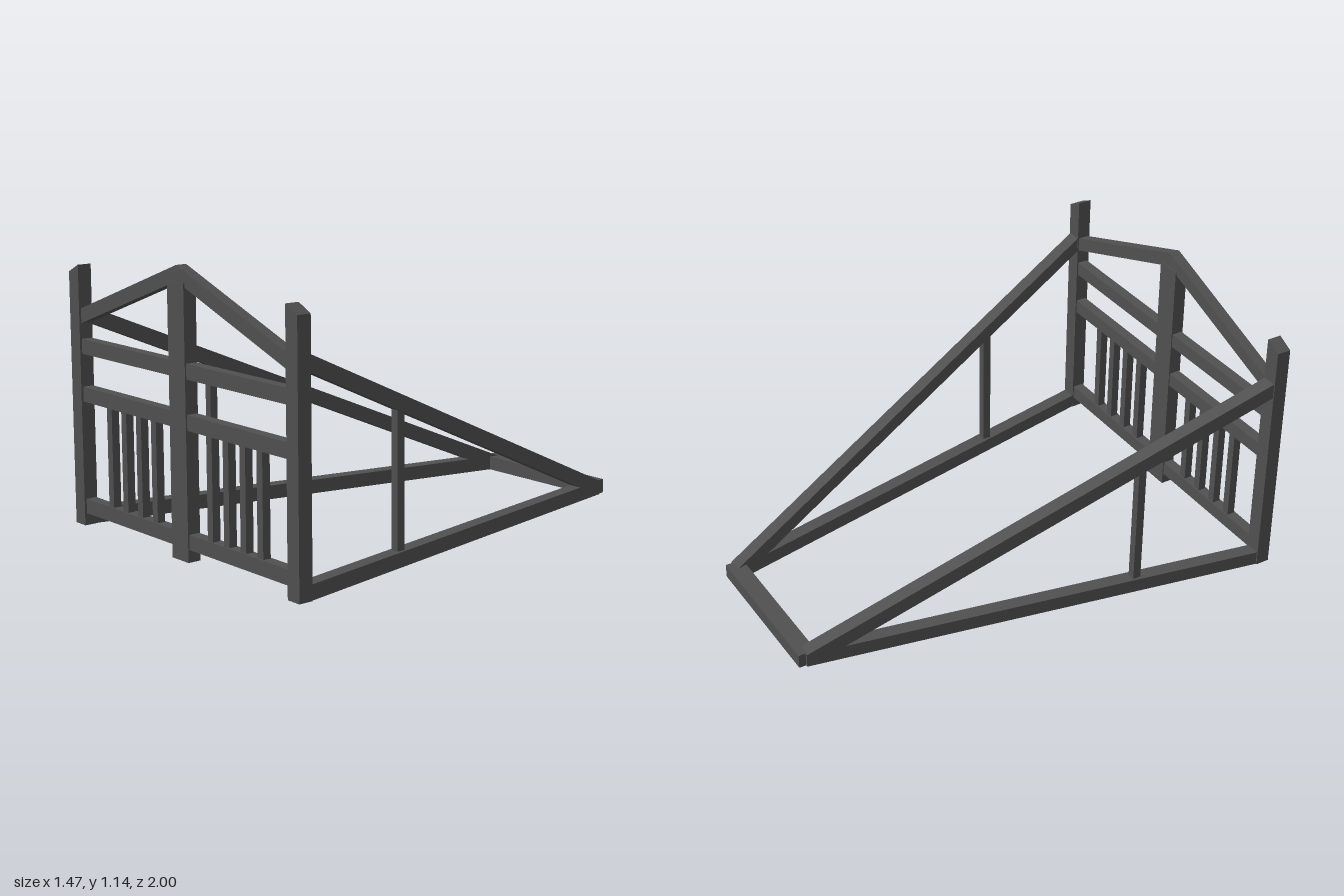
import * as THREE from 'three';

const wood = new THREE.MeshStandardMaterial({ color: 0x505050 });
wood.name = 'dark timber';

export function createModel() {
  const model = new THREE.Group();
  model.name = 'timberFrame';

  const add = (name, geometry) => {
    const mesh = new THREE.Mesh(geometry, wood);
    mesh.name = name;
    model.add(mesh);
  };

  // Box given by its limits on each axis
  const box = (name, x0, x1, y0, y1, z0, z1) => add(name,
    new THREE.BoxGeometry(x1 - x0, y1 - y0, z1 - z0)
      .translate((x0 + x1) / 2, (y0 + y1) / 2, (z0 + z1) / 2));

  const extrude = (points, depth) => new THREE.ExtrudeGeometry(
    new THREE.Shape(points.map(([x, y]) => new THREE.Vector2(x, y))),
    { depth, bevelEnabled: false });

  // Front-facing outline given depth from z0 to z1
  const frontPiece = (name, points, z0, z1) =>
    add(name, extrude(points, z1 - z0).translate(0, 0, z0));

  // The side frames lean inwards toward the back
  const sideX = z => 0.315 + (z + 0.97) * 0.2016;

  // Side outline in (z, y), sheared to follow the tapering plan
  const sidePiece = (name, side, points, width) => {
    const g = extrude(points.map(([z, y]) => [-z, y]), width)
      .rotateY(Math.PI / 2).translate(-width / 2, 0, 0);
    const p = g.attributes.position;
    for (let i = 0; i < p.count; i++) p.setX(i, p.getX(i) + side * sideX(p.getZ(i)));
    g.computeVertexNormals();
    add(name, g);
  };

  // Centre post and rear sill
  box('centrePost', -0.053, 0.053, 0, 1.072, 0.941, 0.997);
  box('rearSill', -0.335, 0.335, 0, 0.06, -1, -0.925);

  for (const s of [-1, 1]) {
    const label = s > 0 ? 'left' : 'right';
    const mirror = points => points.map(([x, y]) => [s * x, y]);
    const railSpan = [s * 0.05, s * 0.67].sort((a, b) => a - b);

    // Corner post with slanted top
    frontPiece(label + 'CornerPost',
      mirror([[0.668, 0], [0.735, 0], [0.735, 1.037], [0.668, 1.07]]), 0.94, 1);

    // Sloping top rail meeting at the ridge
    frontPiece(label + 'TopRail',
      mirror([[0, 1.075], [0.67, 0.833], [0.67, 0.893], [0, 1.136]]), 0.945, 0.991);

    // Horizontal rails
    [[0.05, 0.11], [0.514, 0.575], [0.71, 0.77]].forEach(([y0, y1], i) =>
      box(label + 'Rail' + (i + 1), ...railSpan, y0, y1, 0.945, 0.991));

    // Balusters between the lower rails
    for (let i = 0; i < 4; i++) {
      const x = s * (0.182 + i * 0.1027);
      box(label + 'Baluster' + (i + 1), x - 0.017, x + 0.017, 0.11, 0.514, 0.951, 0.985);
    }

    // Side sill, sloping brace and upright strut
    sidePiece(label + 'Sill', s,
      [[0.945, 0], [0.945, 0.06], [-0.97, 0.06], [-0.97, 0]], 0.06);
    sidePiece(label + 'Brace', s,
      [[0.942, 0.83], [0.942, 0.895], [-0.965, 0.06], [-0.815, 0.06]], 0.06);
    const x = s * sideX(0.412);
    box(label + 'Strut', x - 0.017, x + 0.017, 0.05, 0.61, 0.395, 0.43);
  }
  return model;
}
